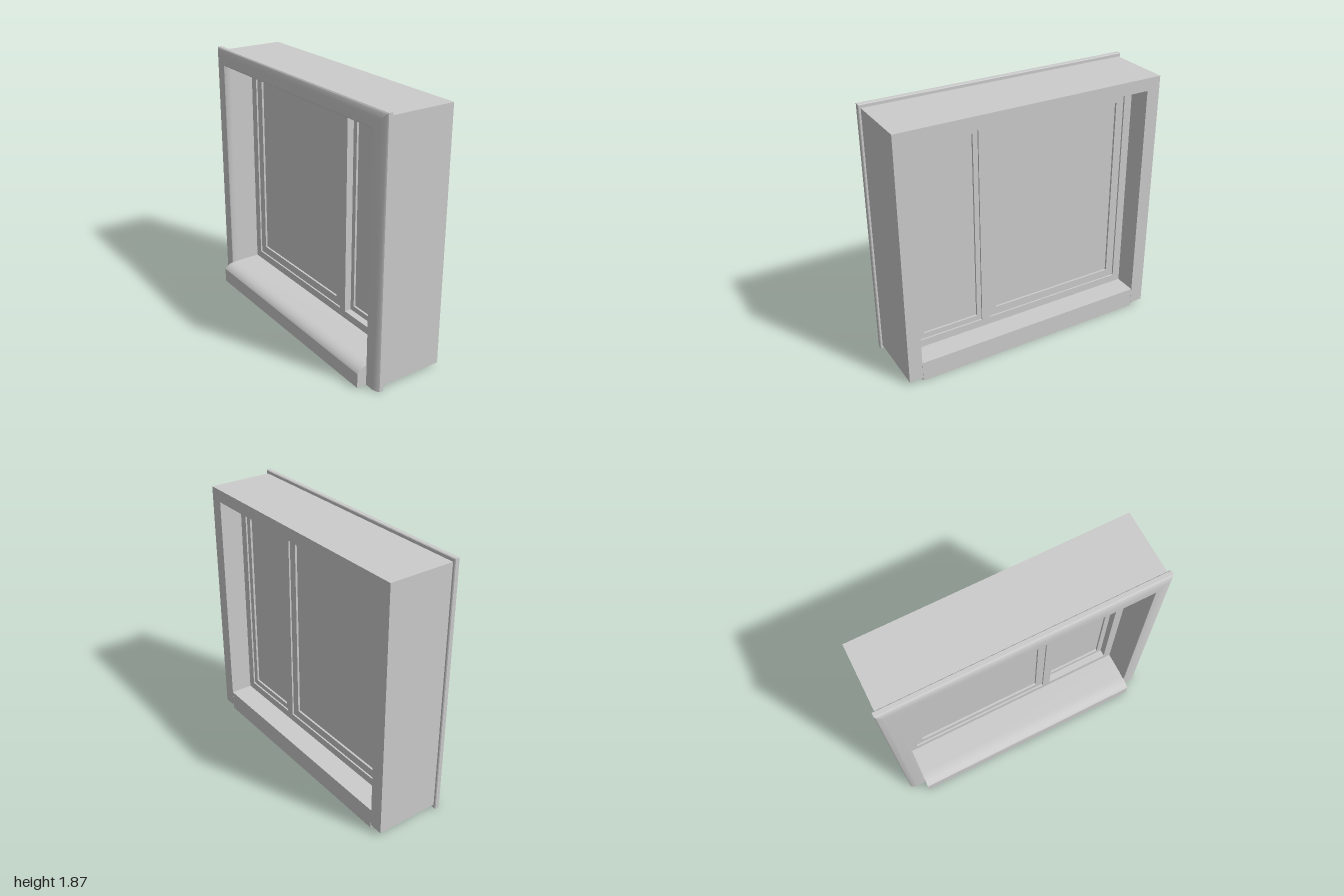
import * as THREE from 'three';
import { toCreasedNormals } from 'three/addons/utils/BufferGeometryUtils.js';

const material = new THREE.MeshStandardMaterial({ color: 0xcccccc });

function part(group, name, geometry) {
  const mesh = new THREE.Mesh(geometry, material);
  mesh.name = name;
  group.add(mesh);
  return mesh;
}

function rectPath(Type, z0, z1, y0, y1) {
  const p = new Type();
  p.moveTo(z0, y0);
  p.lineTo(z1, y0);
  p.lineTo(z1, y1);
  p.lineTo(z0, y1);
  p.closePath();
  return p;
}

// Extrudes a shape drawn in the (z, y) plane from x0 to x1
function slab(shape, x0, x1) {
  const g = new THREE.ExtrudeGeometry(shape, { depth: x1 - x0, bevelEnabled: false });
  g.rotateY(-Math.PI / 2);
  g.translate(x1, 0, 0);
  return g;
}

// Rectangular frame with any number of rectangular openings
function frame(outer, holes, x0, x1) {
  const shape = rectPath(THREE.Shape, ...outer);
  holes.forEach(h => shape.holes.push(rectPath(THREE.Path, ...h)));
  return slab(shape, x0, x1);
}

// Sweeps a profile of [offset outward, x] round the opening with mitred corners
function mitredCasing(profile, halfWidth, top) {
  const stations = [
    d => [halfWidth + d, 0],
    d => [halfWidth + d, top + d],
    d => [-halfWidth - d, top + d],
    d => [-halfWidth - d, 0],
  ];
  const pos = [];
  const at = (s, i) => {
    const [d, x] = profile[i % profile.length];
    const [z, y] = stations[s](d);
    return [x, y, z];
  };
  const n = profile.length;
  for (let s = 0; s < 3; s++) {
    for (let i = 0; i < n; i++) {
      const a = at(s, i), b = at(s, i + 1), c = at(s + 1, i + 1), d = at(s + 1, i);
      pos.push(...a, ...b, ...c, ...a, ...c, ...d);
    }
  }
  // Closed feet of both legs
  for (let i = 1; i < n - 1; i++) {
    pos.push(...at(0, 0), ...at(0, i + 1), ...at(0, i));
    pos.push(...at(3, 0), ...at(3, i), ...at(3, i + 1));
  }
  const g = new THREE.BufferGeometry();
  g.setAttribute('position', new THREE.Float32BufferAttribute(pos, 3));
  return toCreasedNormals(g, 0.7);
}

export function createModel() {
  const model = new THREE.Group();
  model.name = 'window';

  // Deep box lining, open at the bottom where the sill sits
  const lining = new THREE.Shape();
  [[0.98, 0.025], [0.98, 1.845], [-0.98, 1.845], [-0.98, 0.025],
    [-0.88, 0.025], [-0.88, 1.755], [0.88, 1.755], [0.88, 0.025]]
    .forEach(([z, y], i) => (i ? lining.lineTo(z, y) : lining.moveTo(z, y)));
  part(model, 'boxLining', slab(lining, -0.178, 0.297));

  // Outside casing with a sloping outer edge
  const profile = [[0, -0.175], [0, -0.224], [0.005, -0.23], [0.075, -0.23],
    [0.112, -0.217], [0.12, -0.208], [0.12, -0.18], [0.115, -0.175]];
  part(model, 'casing', mitredCasing(profile, 0.877, 1.75));

  // Sill with a rounded nose outside
  const sill = new THREE.Shape();
  sill.moveTo(-0.3, 0);
  sill.lineTo(0.297, 0);
  sill.lineTo(0.297, 0.148);
  sill.lineTo(-0.2, 0.148);
  sill.bezierCurveTo(-0.245, 0.147, -0.28, 0.135, -0.3, 0.107);
  sill.closePath();
  const sillGeometry = new THREE.ExtrudeGeometry(sill, { depth: 1.758, bevelEnabled: false, curveSegments: 12 });
  sillGeometry.translate(0, 0, -0.879);
  part(model, 'sill', toCreasedNormals(sillGeometry, 0.5));

  // Fixed frame with a mullion between two openings
  const narrow = [0.33, 0.82, 0.205, 1.69];
  const wide = [-0.82, 0.27, 0.205, 1.69];
  part(model, 'fixedFrame', frame([-0.88, 0.88, 0.147, 1.755], [narrow, wide], 0, 0.132));

  // Sashes and their panes
  const sashes = [
    { name: 'narrow', outer: narrow, inner: [0.365, 0.78, 0.245, 1.65], x0: 0.05 },
    { name: 'wide', outer: wide, inner: [-0.76, 0.21, 0.265, 1.635], x0: 0.012 },
  ];
  for (const { name, outer, inner, x0 } of sashes) {
    part(model, name + 'Sash', frame(outer, [inner], x0, 0.12));
    const [z0, z1, y0, y1] = inner;
    const paneBack = x0 + 0.015, paneFront = 0.105;
    const pane = part(model, name + 'Pane', new THREE.BoxGeometry(paneFront - paneBack, y1 - y0, z1 - z0));
    pane.position.set((paneFront + paneBack) / 2, (y0 + y1) / 2, (z0 + z1) / 2);
  }
  return model;
}
